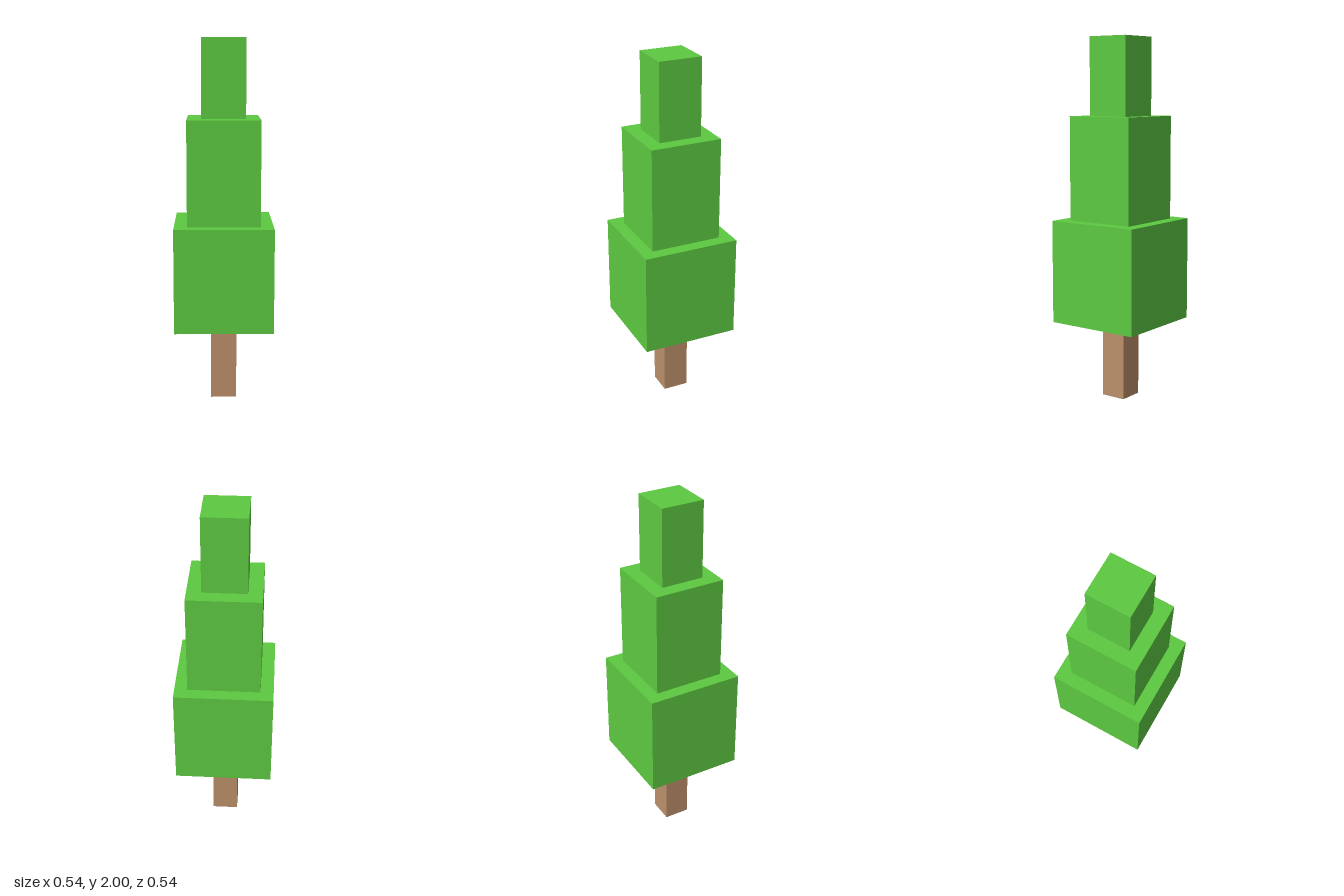
import * as THREE from 'three';

export function createModel() {
  const group = new THREE.Group();
  const leafGreen = new THREE.MeshStandardMaterial({ color: 0x5dca41 });
  leafGreen.name = 'leafGreen';
  const barkBrown = new THREE.MeshStandardMaterial({ color: 0xbc906a });
  barkBrown.name = 'barkBrown';

  // Square block standing between two heights
  function addBlock(name, width, bottom, top, material) {
    const mesh = new THREE.Mesh(new THREE.BoxGeometry(width, top - bottom, width), material);
    mesh.name = name;
    mesh.position.y = (bottom + top) / 2;
    group.add(mesh);
  }

  // Trunk
  addBlock('trunk', 0.143, 0, 0.432, barkBrown);

  // Foliage tiers, narrowing upwards
  addBlock('lowerFoliage', 0.537, 0.432, 1.002, leafGreen);
  addBlock('middleFoliage', 0.395, 1.002, 1.573, leafGreen);
  addBlock('upperFoliage', 0.239, 1.573, 2, leafGreen);

  return group;
}
